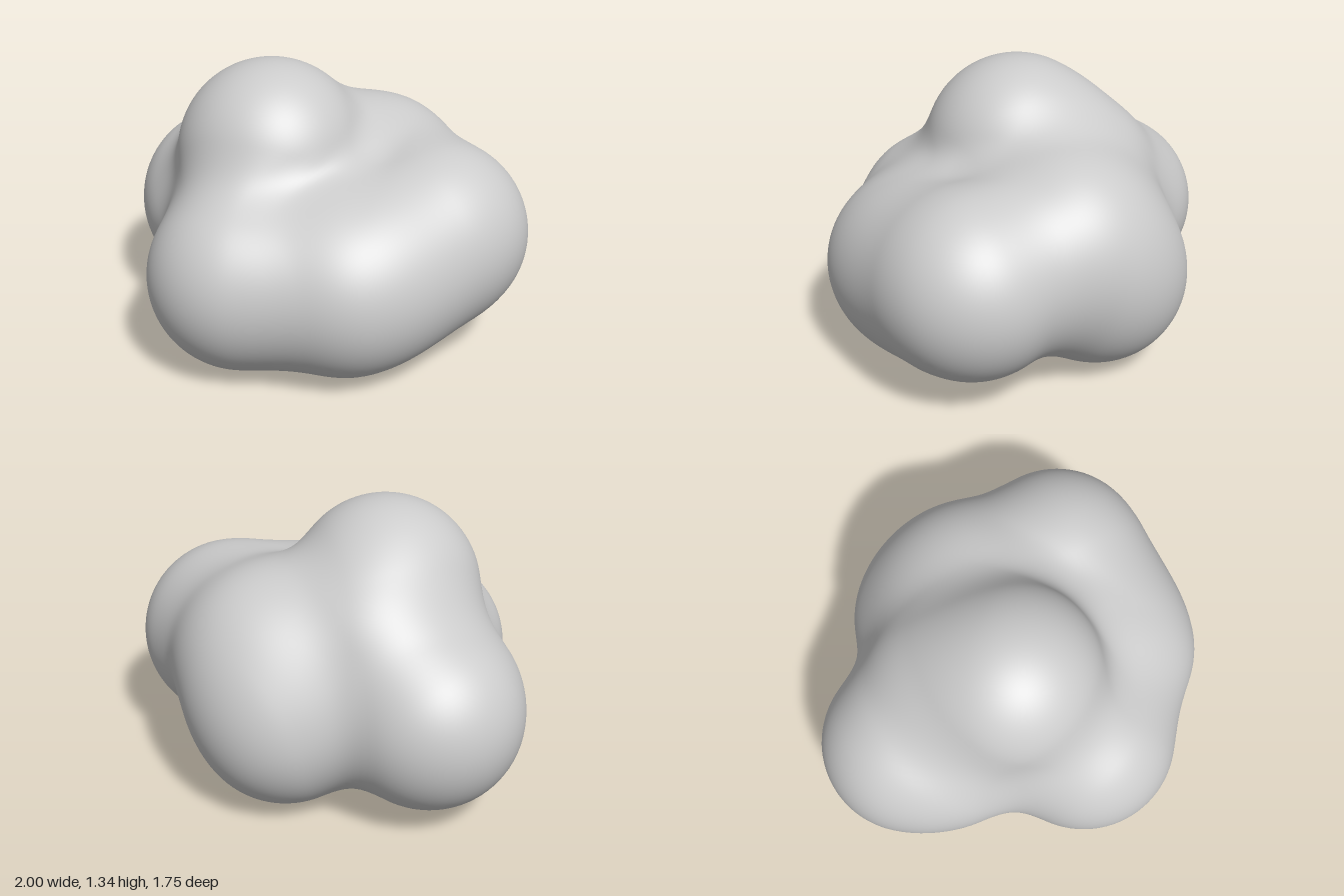
import * as THREE from 'three';
import { mergeVertices } from 'three/addons/utils/BufferGeometryUtils.js';

// Puffs of the cloud: x, y, z, radius
const puffs = [
  [-0.57, 0.51, -0.30, 0.43],  // right side
  [-0.51, 0.52, -0.05, 0.32],  // right side, towards the front
  [0.56, 0.57, -0.02, 0.44],   // left side
  [0.42, 0.50, 0.21, 0.36],    // left side, towards the front
  [-0.21, 0.91, 0.05, 0.44],   // crown
  [-0.25, 0.78, -0.24, 0.36],  // behind the crown
  [-0.22, 0.45, 0.44, 0.44],   // front right
  [0.25, 0.45, 0.38, 0.43],    // front left
  [0.07, 0.45, -0.44, 0.43],   // back
  [0.20, 0.67, -0.34, 0.42],   // upper back
  [0.00, 0.58, 0.00, 0.36],    // core
];
const BLEND = 0.2;

// Smoothly blended distance to all puffs
function distance(p) {
  let d = Infinity;
  for (const [x, y, z, r] of puffs) {
    const s = Math.hypot(p.x - x, p.y - y, p.z - z) - r;
    const h = d === Infinity ? 0 : Math.max(BLEND - Math.abs(d - s), 0) / BLEND;
    d = Math.min(d, s) - h * h * BLEND * 0.25;
  }
  return d;
}

// Shrink a large sphere's vertices inwards onto the blended surface
function cloudGeometry() {
  const ball = new THREE.IcosahedronGeometry(1, 32);
  ball.deleteAttribute('uv');
  ball.deleteAttribute('normal');
  const geo = mergeVertices(ball, 1e-4);
  const pos = geo.attributes.position;
  const centre = new THREE.Vector3(0, 0.55, 0);
  const dir = new THREE.Vector3();
  const p = new THREE.Vector3();
  for (let i = 0; i < pos.count; i++) {
    dir.fromBufferAttribute(pos, i).normalize();
    let t = 1.6;
    for (let n = 0; n < 60; n++) {
      const d = distance(p.copy(centre).addScaledVector(dir, t));
      if (d < 1e-4) break;
      t -= d * 0.9;
    }
    pos.setXYZ(i, p.x, p.y, p.z);
  }
  geo.computeVertexNormals();
  return geo;
}

export function createModel() {
  const group = new THREE.Group();
  group.name = 'cloud';
  const body = new THREE.Mesh(cloudGeometry(), new THREE.MeshStandardMaterial({ color: 0xcccccc }));
  body.name = 'cloudBody';
  group.add(body);
  return group;
}
